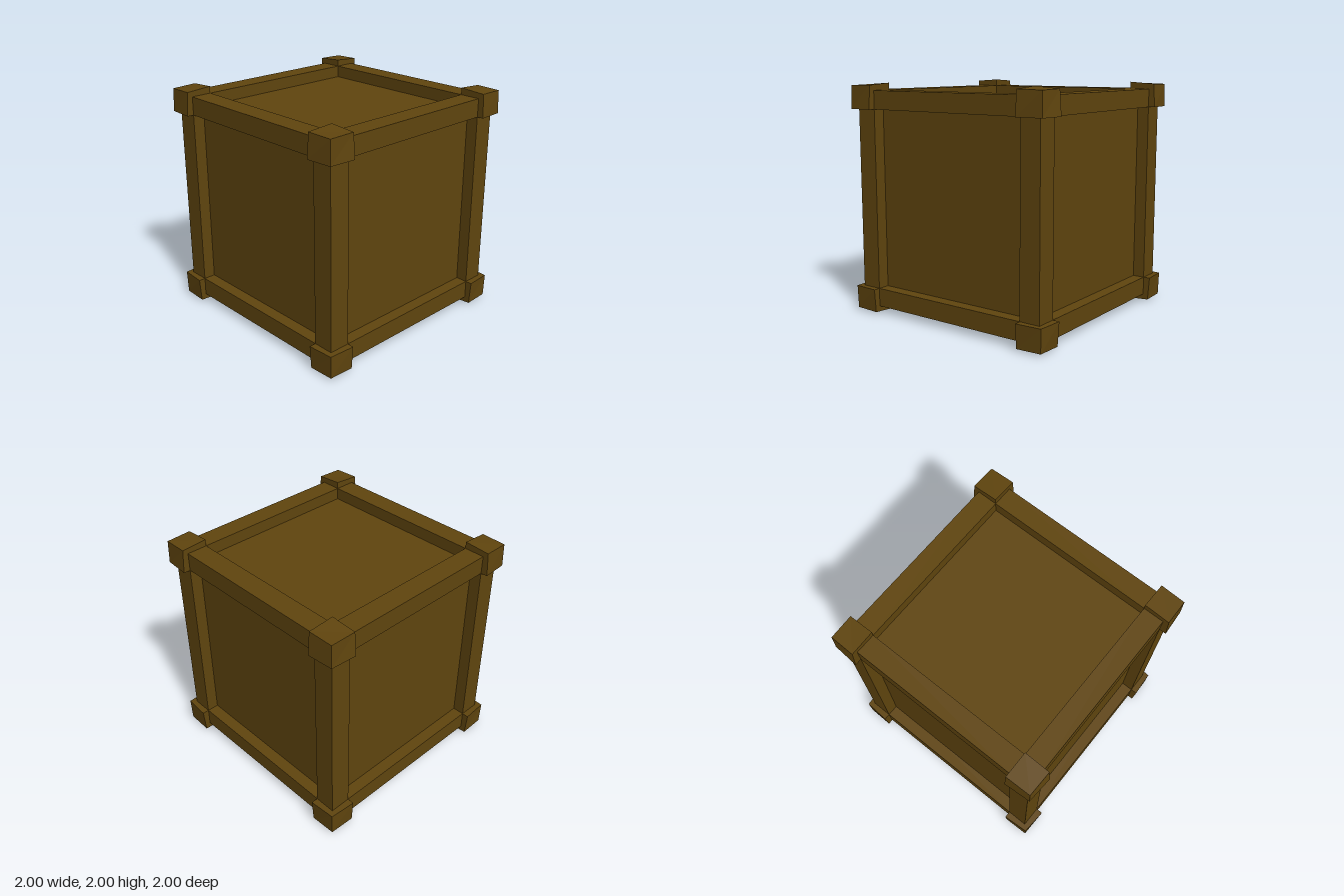
import * as THREE from 'three';

const INNER = [0.757, 0.78, 0.757]; // inner edge of the frame on each axis
const OUTER = 0.94;                 // outer face of the frame
const PANEL = 0.835;                // recessed panel faces
const CAP = [0, 1, 0.985, 0.98];    // cap reach by number of outward sides

// Corner cap: a box whose outer faces taper towards the outermost corner
function capGeometry(signs) {
  const geo = new THREE.BoxGeometry(2, 2, 2).toNonIndexed();
  const pos = geo.attributes.position;
  for (let i = 0; i < pos.count; i++) {
    const v = [pos.getX(i), pos.getY(i), pos.getZ(i)];
    const out = v.map((c, k) => c * signs[k] > 0);
    const reach = CAP[out.filter(Boolean).length];
    pos.setXYZ(i, ...v.map((c, k) => signs[k] * (out[k] ? reach : INNER[k])));
  }
  geo.computeVertexNormals();
  return geo;
}

export function createModel() {
  const model = new THREE.Group();
  model.name = 'crate';
  const wood = new THREE.MeshStandardMaterial({ color: 0x60450e });
  wood.name = 'dark wood';

  const add = (name, geometry, parent) => {
    const mesh = new THREE.Mesh(geometry, wood);
    mesh.name = name;
    parent.add(mesh);
    return mesh;
  };

  const body = new THREE.Group();
  body.name = 'body';
  body.position.y = 1;
  model.add(body);

  // Recessed panels
  add('panels', new THREE.BoxGeometry(2 * PANEL, 2 * PANEL, 2 * PANEL), body);

  // Twelve frame beams, four along each axis
  const names = ['crossBeam', 'post', 'sideBeam'];
  for (let axis = 0; axis < 3; axis++) {
    const b = (axis + 1) % 3, c = (axis + 2) % 3;
    for (const sb of [-1, 1]) for (const sc of [-1, 1]) {
      const size = [0, 0, 0], at = [0, 0, 0];
      size[axis] = 2 * INNER[axis];
      for (const [k, s] of [[b, sb], [c, sc]]) {
        size[k] = OUTER - INNER[k];
        at[k] = s * (OUTER + INNER[k]) / 2;
      }
      add(names[axis], new THREE.BoxGeometry(...size), body).position.set(...at);
    }
  }

  // Eight corner caps
  for (const x of [-1, 1]) for (const y of [-1, 1]) for (const z of [-1, 1])
    add('cornerCap', capGeometry([x, y, z]), body);

  return model;
}
